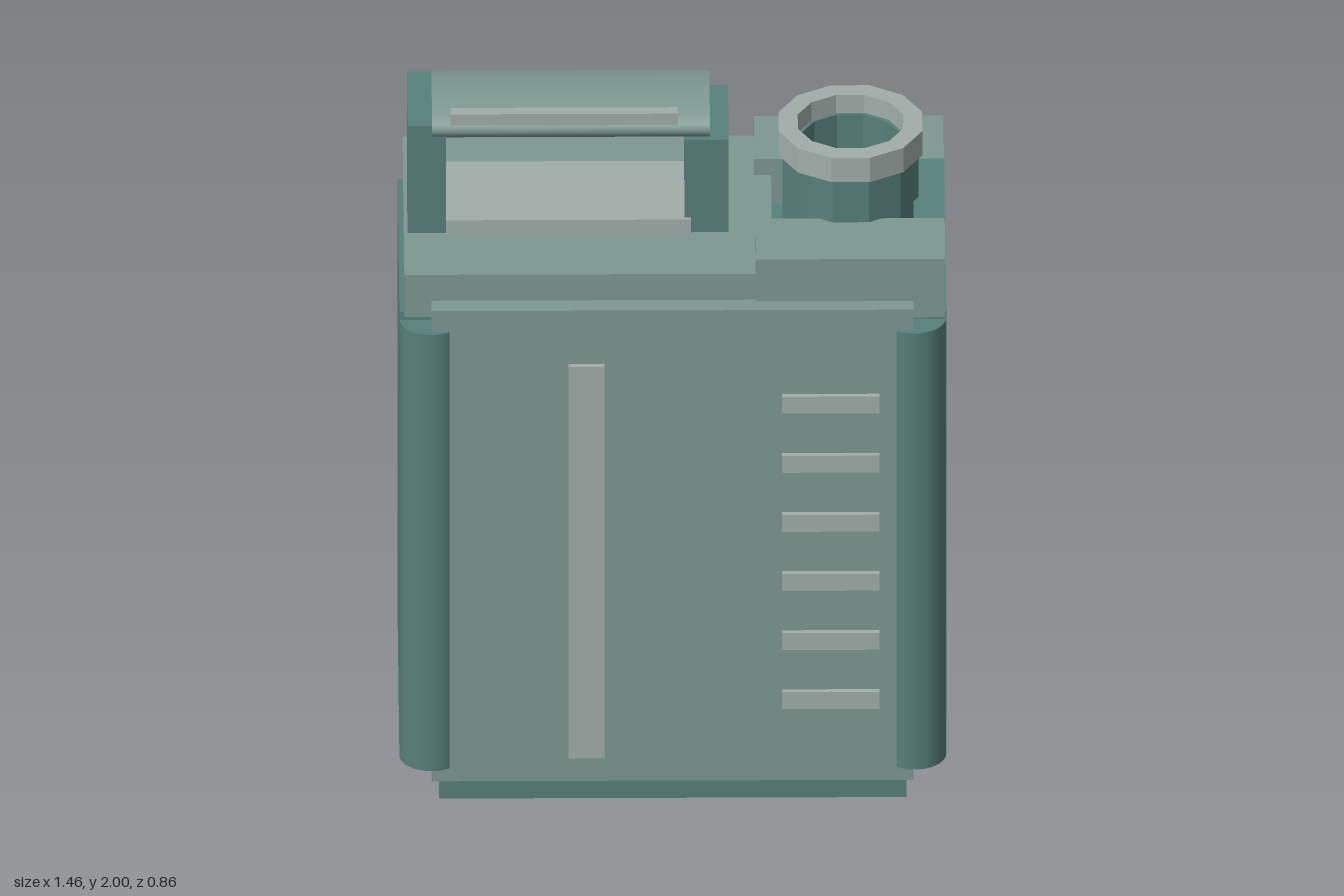
import * as THREE from 'three';

const material = (color, extra = {}) => new THREE.MeshStandardMaterial({ color, ...extra });

export function createModel() {
  const model = new THREE.Group();
  model.name = 'canister';
  const dark = material(0x56807a);
  const mid = material(0x7e9892);
  const pale = material(0xa2aeaa);
  const darkFlat = material(0x56807a, { flatShading: true });
  const paleFlat = material(0xa2aeaa, { flatShading: true });

  const add = (name, geometry, mat) => {
    const mesh = new THREE.Mesh(geometry, mat);
    mesh.name = name;
    model.add(mesh);
    return mesh;
  };

  // Box given by its lower and upper bounds on each axis
  const box = (name, mat, [x0, x1], [y0, y1], [z0, z1]) => {
    const mesh = add(name, new THREE.BoxGeometry(x1 - x0, y1 - y0, z1 - z0), mat);
    mesh.position.set((x0 + x1) / 2, (y0 + y1) / 2, (z0 + z1) / 2);
    return mesh;
  };

  // Faceted ring with a rectangular section, flat side facing each axis
  const ring = (name, mat, outer, inner, y0, y1) => {
    const profile = [[inner, y0], [outer, y0], [outer, y1], [inner, y1], [inner, y0]];
    const geometry = new THREE.LatheGeometry(
      profile.map(([r, y]) => new THREE.Vector2(r, y)), 12, Math.PI / 12);
    const mesh = add(name, geometry, mat);
    mesh.position.set(0.475, 0, -0.005);
    return mesh;
  };

  // Core, showing below as the foot
  box('core', dark, [-0.622, 0.622], [0, 1.54], [-0.335, 0.335]);

  // Front and back panels
  box('frontPanel', mid, [-0.643, 0.64], [0.1, 1.55], [0.35, 0.415]);
  box('backPanel', mid, [-0.643, 0.64], [0.1, 1.55], [-0.422, -0.35]);

  // Side walls and rounded corner posts
  for (const side of [-1, 1]) {
    const wall = [0.642 * side, 0.728 * side].sort((a, b) => a - b);
    box('sideWall', dark, wall, [0.14, 1.51], [-0.35, 0.35]);
    for (const end of [-1, 1]) {
      const post = add('cornerPost', new THREE.CylinderGeometry(0.085, 0.085, 1.345, 32), dark);
      post.position.set(0.643 * side, 0.8125, 0.345 * end);
    }
  }
  box('sideWallTab', dark, [0.642, 0.726], [1.51, 1.68], [-0.16, 0.155]);

  // Top plate and the raised shoulders on both sides of the neck
  box('topPlate', mid, [-0.715, 0.265], [1.5, 1.63], [-0.37, 0.36]);
  box('frontShoulder', mid, [0.22, 0.725], [1.5, 1.68], [0.155, 0.37]);
  box('backShoulder', mid, [0.22, 0.725], [1.5, 1.68], [-0.385, -0.16]);

  // Open neck with its collar
  ring('neck', darkFlat, 0.187, 0.135, 1.52, 1.83);
  ring('neckCollar', paleFlat, 0.198, 0.145, 1.81, 1.885);

  // Carrying handle
  box('handlePostRight', dark, [-0.705, -0.602], [1.62, 1.96], [-0.15, 0.14]);
  box('handlePostLeft', dark, [0.033, 0.15], [1.62, 1.915], [-0.15, 0.14]);
  box('handlePad', pale, [-0.602, 0.05], [1.62, 1.675], [-0.16, 0.15]);
  const gripGeometry = new THREE.CylinderGeometry(1, 1, 0.74, 40);
  gripGeometry.rotateZ(Math.PI / 2).scale(1, 0.055, 0.15);
  add('handleGrip', gripGeometry, mid).position.set(-0.27, 1.945, -0.003);
  box('gripStrip', pale, [-0.59, 0.015], [1.965, 2], [0.113, 0.147]);

  // Level strip and measuring marks on the front
  box('levelStrip', pale, [-0.278, -0.182], [0.178, 1.385], [0.4, 0.43]);
  for (let i = 0; i < 6; i++) {
    const y = 0.354 + i * 0.1822;
    box('measuringMark', pale, [0.29, 0.55], [y - 0.026, y + 0.026], [0.4, 0.43]);
  }

  return model;
}
